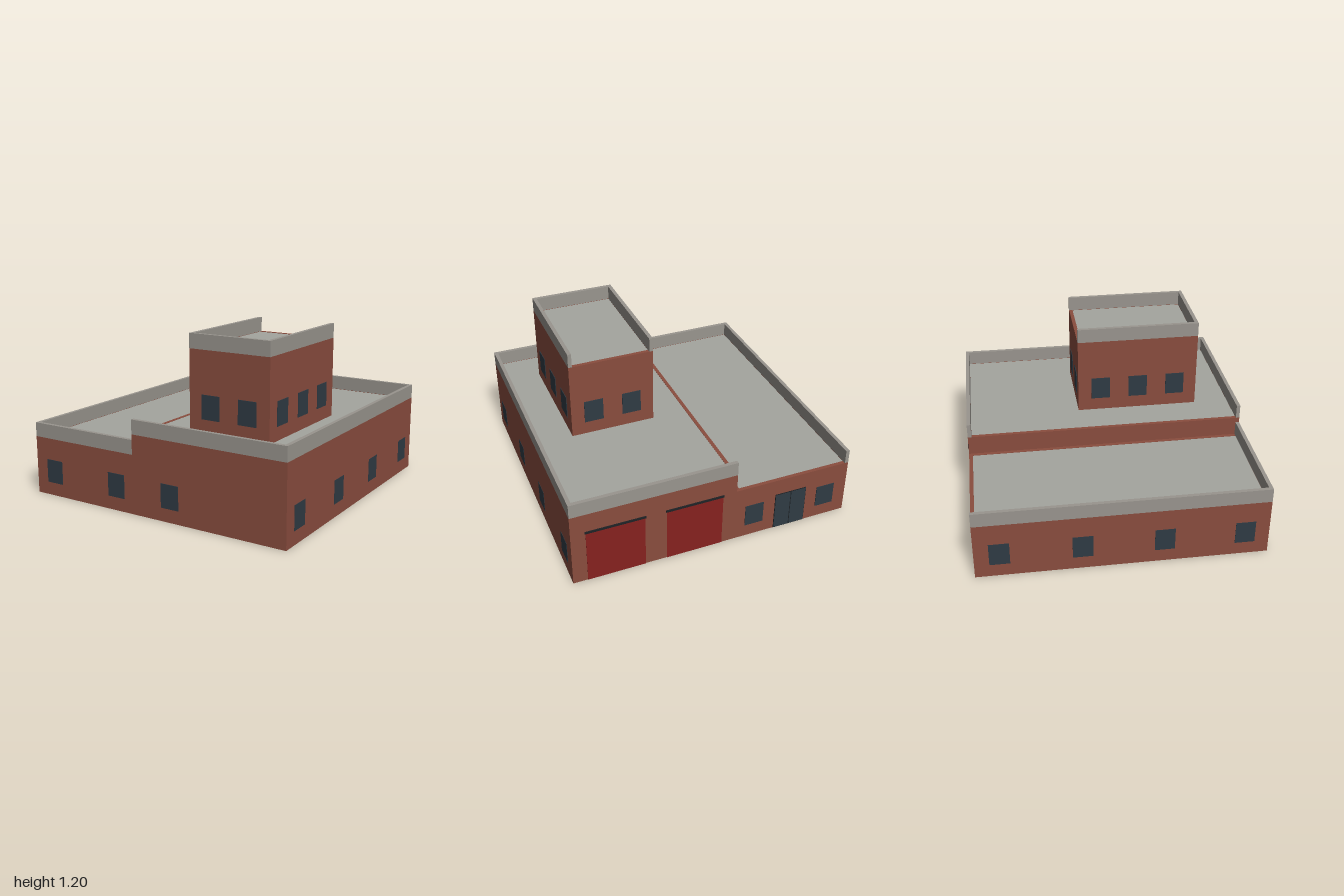
import * as THREE from 'three';

const T = 0.026; // wall thickness
const mat = (color) => new THREE.MeshStandardMaterial({ color, flatShading: true });
const BRICK = mat(0x8a4d3e), STONE = mat(0x99958e), ROOF = mat(0xa4a59f);
const GLASS = mat(0x2f3b44), RED = mat(0x86211f), DARK = mat(0x1f2326);

// Box given by its two opposite corners
function box(parent, name, material, x0, x1, y0, y1, z0, z1) {
  const mesh = new THREE.Mesh(new THREE.BoxGeometry(x1 - x0, y1 - y0, z1 - z0), material);
  mesh.position.set((x0 + x1) / 2, (y0 + y1) / 2, (z0 + z1) / 2);
  mesh.name = name;
  parent.add(mesh);
  return mesh;
}

// Rectangle outline on the ground plane (shape y becomes -z)
function outline(Type, x0, x1, z0, z1) {
  return new Type([[x0, -z1], [x1, -z1], [x1, -z0], [x0, -z0]].map((p) => new THREE.Vector2(...p)));
}

// Hollow block: ring of walls, inset roof slab, parapet on the listed sides
function block(name, { x0, x1, z0, z1, y0, y1 }, sides) {
  const group = new THREE.Group();
  group.name = name;
  const shape = outline(THREE.Shape, x0, x1, z0, z1);
  shape.holes.push(outline(THREE.Path, x0 + T, x1 - T, z0 + T, z1 - T));
  const geometry = new THREE.ExtrudeGeometry(shape, { depth: y1 - y0, bevelEnabled: false });
  geometry.rotateX(-Math.PI / 2).translate(0, y0, 0);
  const walls = new THREE.Mesh(geometry, BRICK);
  walls.name = 'walls';
  group.add(walls);
  box(group, 'roof', ROOF, x0 + T, x1 - T, y1 - 0.028, y1 - 0.002, z0 + T, z1 - T);

  const top = y1 + 0.1;
  const edges = {
    front: [x0, x1, z1 - T, z1],
    back: [x0, x1, z0, z0 + T],
    left: [x1 - T, x1, z0, z1],
    right: [x0, x0 + T, z0, z1],
  };
  // side parapets stop at the front and back ones where they meet
  const zBack = sides.includes('back') ? z0 + T : z0;
  for (const side of sides) {
    let [a, b, c, d] = edges[side];
    if (side === 'left' || side === 'right') { c = zBack; d = z1 - T; }
    box(group, side + 'Parapet', STONE, a, b, y1, top, c, d);
  }
  return group;
}

const W = 0.136, H = 0.165, OUT = 0.004; // window size and projection

// Window panel on a wall facing along z or x
function windowZ(parent, x, y, z) {
  box(parent, 'window', GLASS, x - W / 2, x + W / 2, y, y + H, z - OUT, z + OUT);
}
function windowX(parent, x, y, z) {
  box(parent, 'window', GLASS, x - OUT, x + OUT, y, y + H, z - W / 2, z + W / 2);
}

export function createModel() {
  const model = new THREE.Group();
  model.name = 'building';
  const B = 0.985;
  const split = -0.15;

  const wing = block('lowWing', { x0: -1, x1: split, z0: -B, z1: B, y0: 0, y1: 0.41 }, ['front', 'right']);
  const main = block('mainHall', { x0: split, x1: 1, z0: -B, z1: B, y0: 0, y1: 0.548 }, ['front', 'back', 'left']);
  const tower = block('tower', { x0: 0.122, x1: 0.722, z0: -0.166, z1: 0.71, y0: 0.546, y1: 1.098 }, ['front', 'left', 'right']);
  model.add(wing, main, tower);

  // Ground floor windows
  for (const z of [0.82, 0.275, -0.272, -0.818]) {
    windowX(wing, -1 + OUT / 2, 0.093, z);
    windowX(main, 1 - OUT / 2, 0.093, z);
    windowX(main, split + T, 0.093, z);
  }
  for (const x of [-0.836, -0.289]) {
    windowZ(wing, x, 0.093, B);
    windowZ(wing, x, 0.093, -B);
  }
  windowZ(main, 0.148, 0.093, B);

  // Tower windows
  for (const x of [0.285, 0.56]) {
    windowZ(tower, x, 0.64, 0.71);
    windowZ(tower, x, 0.64, -0.166);
  }
  for (const z of [0.549, 0.274, 0]) {
    windowX(tower, 0.122, 0.64, z);
    windowX(tower, 0.722, 0.64, z);
  }

  // Garage doors with dark lintels
  for (const x of [0.15, 0.7]) {
    box(main, 'garageDoor', RED, x - 0.2, x + 0.2, 0, 0.4, -B - 0.003, -B + 0.004);
    box(main, 'garageLintel', DARK, x - 0.206, x + 0.206, 0.395, 0.41, -B - 0.007, -B + 0.004);
  }

  // Double entrance door
  for (const s of [-1, 1]) {
    const x = -0.563 + s * 0.059;
    box(wing, 'entranceLeaf', GLASS, x - 0.056, x + 0.056, 0.004, 0.285, -B - 0.005, -B + 0.004);
  }
  box(wing, 'entranceFrame', DARK, -0.681, -0.445, 0, 0.29, -B - 0.003, -B + 0.003);

  return model;
}
